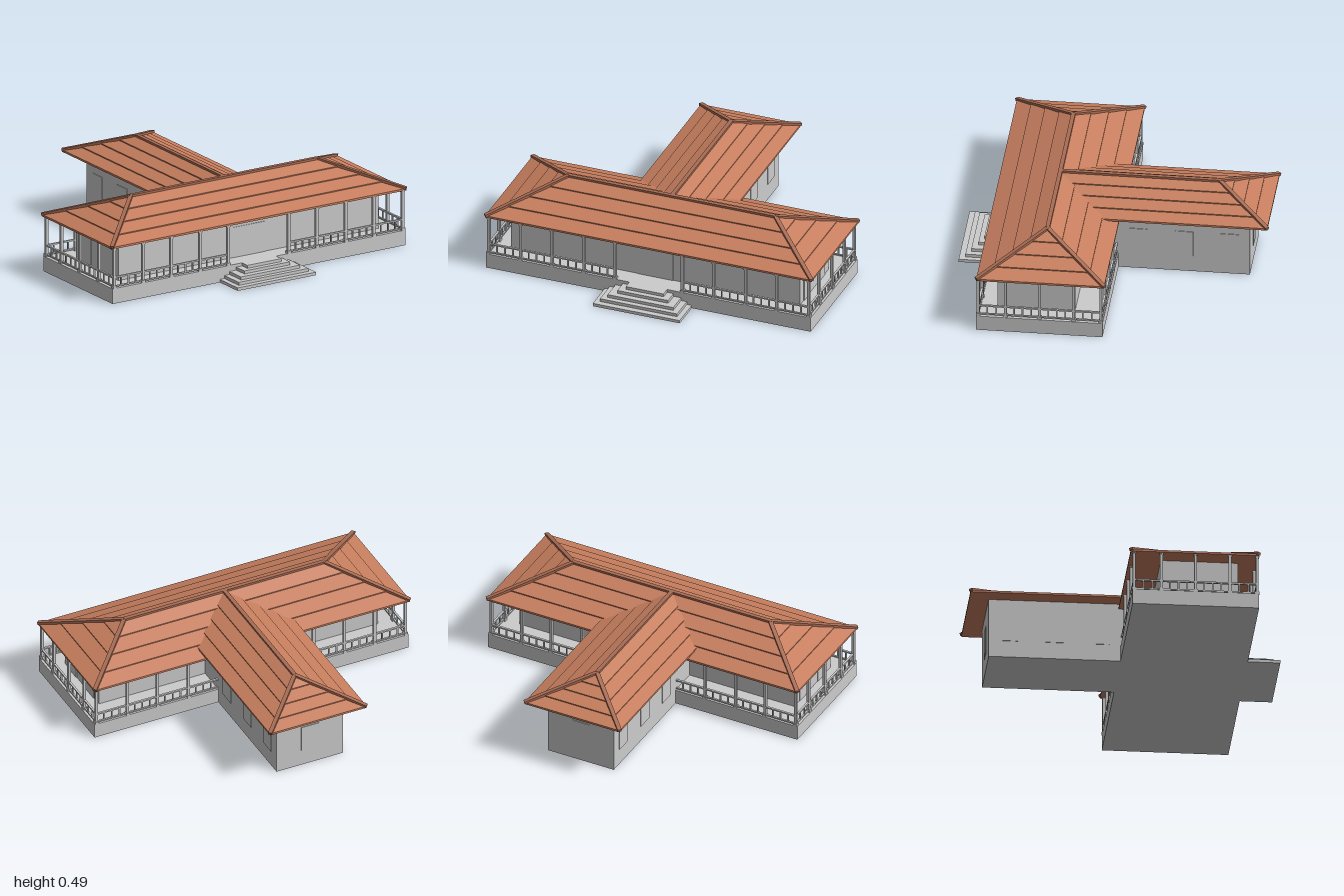
import * as THREE from 'three';

const grey = new THREE.MeshStandardMaterial({ color: 0xcccccc });
const tile = new THREE.MeshStandardMaterial({ color: 0xc87f5f, flatShading: true });
const cap = new THREE.MeshStandardMaterial({ color: 0xa86c54 });

// Box given by its min and max along each axis
function box(parent, name, x0, x1, y0, y1, z0, z1, mat = grey) {
  const m = new THREE.Mesh(new THREE.BoxGeometry(x1 - x0, y1 - y0, z1 - z0), mat);
  m.position.set((x0 + x1) / 2, (y0 + y1) / 2, (z0 + z1) / 2);
  m.name = name;
  parent.add(m);
  return m;
}

// Hipped roof lofted through rectangular rings, with a small riser at each tile course
function hipRoof(name, { half, z0, z1, y0, y1, run, insetX, insetFront }) {
  const group = new THREE.Group();
  group.name = name;
  const fascia = 0.012, step = 0.006, courses = 4;
  const ring = (t, y) => {
    const x = half - t * insetX, f = z1 - t * insetFront, b = z0 + t * run;
    return [[-x, y, f], [x, y, f], [x, y, b], [-x, y, b]];
  };
  const rings = [ring(0, y0)];
  for (let i = 0; i <= courses; i++) {
    const y = y0 + fascia + (y1 - y0 - fascia) * i / courses;
    if (i > 0) rings.push(ring(i / courses, y - (i < courses ? step : 0)));
    if (i < courses) rings.push(ring(i / courses, y));
  }
  const pos = [];
  const quad = (a, b, c, d) => pos.push(...a, ...b, ...c, ...a, ...c, ...d);
  for (let i = 0; i + 1 < rings.length; i++) {
    for (let j = 0; j < 4; j++) {
      const k = (j + 1) % 4;
      quad(rings[i][j], rings[i][k], rings[i + 1][k], rings[i + 1][j]);
    }
  }
  quad(...[...rings[0]].reverse());
  const geo = new THREE.BufferGeometry();
  geo.setAttribute('position', new THREE.Float32BufferAttribute(pos, 3));
  geo.computeVertexNormals();
  const slopes = new THREE.Mesh(geo, tile);
  slopes.name = name + 'Slopes';
  group.add(slopes);

  // Cap strips along the ridge and hips
  const bar = (a, b, part) => {
    const p = new THREE.Vector3(...a), q = new THREE.Vector3(...b);
    const m = new THREE.Mesh(new THREE.BoxGeometry(0.024, 0.016, p.distanceTo(q)), cap);
    m.position.copy(p).add(q).multiplyScalar(0.5);
    m.lookAt(q);
    m.name = part;
    group.add(m);
  };
  const low = ring(0, y0 + fascia), top = ring(1, y1);
  const ends = insetX === half ? [top[0], top[3]] : [top[0], top[1]];
  bar(ends[0], ends[1], 'ridgeCap');
  for (let j = insetFront ? 0 : 2; j < 4; j++) bar(low[j], top[j], 'hipCap');
  return group;
}

export function createModel() {
  const model = new THREE.Group();
  model.name = 'verandaHouse';
  const floor = 0.09, eave = 0.328, front = 0.69, back = -0.01, side = 0.975;

  // Plinth and walls
  box(model, 'plinth', -0.99, 0.99, 0, floor, -0.02, 0.7);
  box(model, 'mainWalls', -0.88, 0.88, floor, eave, 0.15, 0.59);
  box(model, 'rearWing', -0.21, 0.21, 0, 0.36, -0.77, 0.16);

  // Entrance steps
  const steps = [[0.265, 0.885], [0.235, 0.85], [0.2, 0.82], [0.155, 0.785], [0.115, 0.755]];
  steps.forEach(([x, z], i) =>
    box(model, 'step', -x, x, i * floor / 5, (i + 1) * floor / 5, 0.69, z));

  // Doors and window panels
  box(model, 'frontDoor', -0.11, 0.11, floor, 0.27, 0.585, 0.594);
  box(model, 'rearWindow', -0.055, 0.055, 0.1, 0.26, -0.774, -0.765);
  for (const s of [-1, 1]) {
    for (const z of [0.482, 0.262]) {
      box(model, 'sideDoor', s * 0.88 - 0.004, s * 0.88 + 0.004, floor, 0.27, z - 0.048, z + 0.048);
    }
    for (const z of [-0.135, -0.395, -0.655]) {
      box(model, 'wingWindow', s * 0.21 - 0.004, s * 0.21 + 0.004, 0.1, 0.26, z - 0.052, z + 0.052);
    }
  }

  // Veranda columns with a foot block and a head block
  const column = (x, z) => {
    const g = new THREE.Group();
    g.name = 'column';
    box(g, 'shaft', x - 0.008, x + 0.008, floor, eave, z - 0.008, z + 0.008);
    box(g, 'foot', x - 0.012, x + 0.012, floor, floor + 0.015, z - 0.012, z + 0.012);
    box(g, 'head', x - 0.011, x + 0.011, eave - 0.01, eave, z - 0.011, z + 0.011);
    model.add(g);
  };

  // Railing for one bay, with evenly spaced balusters
  const railing = (xa, za, xb, zb) => {
    const g = new THREE.Group();
    g.name = 'railing';
    const dx = xb - xa, dz = zb - za, len = Math.hypot(dx, dz);
    box(g, 'topRail', 0, len, 0.149, 0.158, -0.006, 0.006);
    box(g, 'bottomRail', 0, len, 0.096, 0.104, -0.005, 0.005);
    const n = Math.round(len / 0.05);
    for (let i = 1; i < n; i++) {
      const x = len * i / n;
      box(g, 'baluster', x - 0.004, x + 0.004, 0.1, 0.152, -0.004, 0.004);
    }
    g.position.set(xa, 0, za);
    g.rotation.y = Math.atan2(-dz, dx);
    model.add(g);
  };

  const xs = [0.205, 0.395, 0.59, 0.78, side];
  const zs = [front, 0.535, 0.34, 0.145, back];
  for (const s of [-1, 1]) {
    for (let i = 0; i < 5; i++) {
      column(s * xs[i], front);
      if (i > 0) column(s * xs[i], back);
      if (i > 0 && i < 4) column(s * side, zs[i]);
      if (i === 4) continue;
      railing(s * xs[i], front, s * xs[i + 1], front);
      railing(s * xs[i], back, s * xs[i + 1], back);
      railing(s * side, zs[i], s * side, zs[i + 1]);
    }
  }

  // Roofs
  model.add(hipRoof('mainRoof', {
    half: 0.995, z0: -0.03, z1: 0.7, y0: 0.325, y1: 0.482, run: 0.365, insetX: 0.365, insetFront: 0.365,
  }));
  model.add(hipRoof('wingRoof', {
    half: 0.305, z0: -0.88, z1: 0.335, y0: 0.355, y1: 0.482, run: 0.305, insetX: 0.305, insetFront: 0,
  }));
  return model;
}
